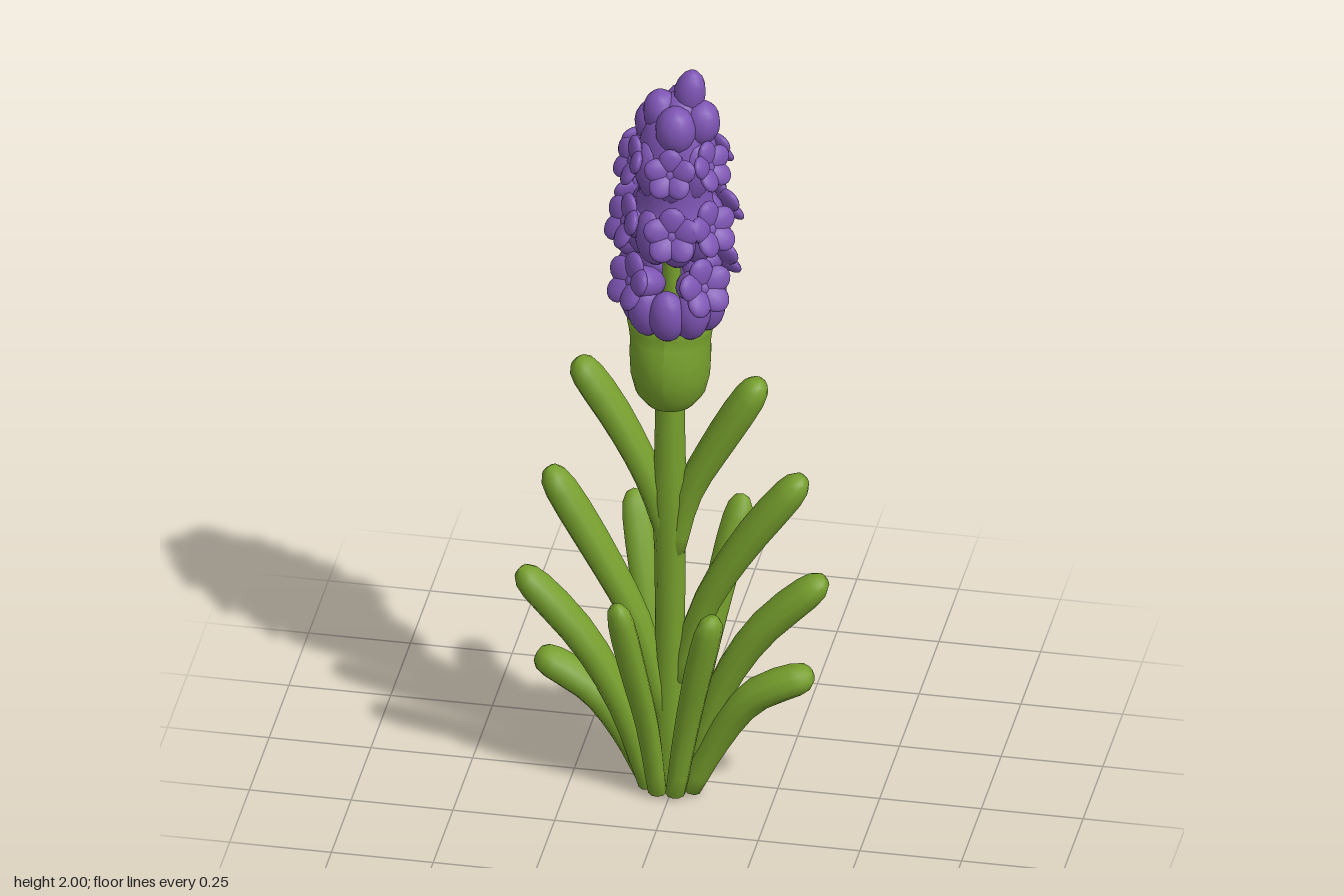
import * as THREE from 'three';

const green = new THREE.MeshStandardMaterial({ color: 0x77a02d });
green.name = 'leafGreen';
const purple = new THREE.MeshStandardMaterial({ color: 0x7d54b3 });
purple.name = 'petalPurple';

const CZ = 0.025; // the stem stands slightly forward of the origin

function add(parent, name, geometry, material) {
  const mesh = new THREE.Mesh(geometry, material);
  mesh.name = name;
  parent.add(mesh);
  return mesh;
}

// Sweep an elliptical section along a curve; rings are [position, scale] pairs.
function sweep(points, width, thick, rings, sides = 10) {
  const curve = new THREE.CatmullRomCurve3(points.map(p => new THREE.Vector3(...p)));
  const out = curve.getPoint(1).sub(curve.getPoint(0)).setY(0);
  const side = new THREE.Vector3(out.z, 0, -out.x).normalize();
  const pos = [], idx = [];
  rings.forEach(([u, s], i) => {
    const c = curve.getPoint(u);
    const t = curve.getTangent(u);
    const b = side.clone().addScaledVector(t, -side.dot(t)).normalize();
    const n = new THREE.Vector3().crossVectors(t, b);
    for (let j = 0; j < sides; j++) {
      const a = j / sides * Math.PI * 2;
      const p = c.clone().addScaledVector(b, Math.cos(a) * width * s)
        .addScaledVector(n, Math.sin(a) * thick * s);
      pos.push(p.x, Math.max(p.y, 0), p.z);
      if (i === 0) continue;
      const k = (j + 1) % sides, A = (i - 1) * sides, B = i * sides;
      idx.push(A + j, A + k, B + k, A + j, B + k, B + j);
    }
  });
  const g = new THREE.BufferGeometry();
  g.setAttribute('position', new THREE.Float32BufferAttribute(pos, 3));
  g.setIndex(idx);
  g.computeVertexNormals();
  return g;
}

const LEAF_RINGS = [[0, 0.01], [0.002, 0.68], [0.1, 0.74], [0.22, 0.8], [0.34, 0.85], [0.46, 0.9],
  [0.58, 0.95], [0.7, 1], [0.82, 1.02], [0.91, 0.97], [0.96, 0.82], [0.99, 0.5], [1, 0.01]];

// Leaf paths from base to tip
const LEAVES = {
  upperRightLeaf: [[-0.01, 0.68, 0.025], [-0.06, 0.85, 0.025], [-0.14, 1.01, 0.02], [-0.24, 1.165, 0.02]],
  upperLeftLeaf: [[0, 0.66, 0.025], [0.035, 0.82, 0.02], [0.11, 0.97, 0.01], [0.21, 1.145, 0.005]],
  highRightLeaf: [[-0.02, 0.2, 0.03], [-0.09, 0.45, 0.03], [-0.19, 0.65, 0.03], [-0.31, 0.855, 0.025]],
  highLeftLeaf: [[0.01, 0.3, 0.02], [0.08, 0.52, 0.02], [0.18, 0.7, 0.015], [0.315, 0.885, 0.005]],
  middleRightLeaf: [[-0.055, 0.01, 0.05], [-0.12, 0.23, 0.06], [-0.22, 0.42, 0.07], [-0.37, 0.595, 0.08]],
  middleLeftLeaf: [[0.035, 0.01, 0.03], [0.11, 0.27, 0.03], [0.21, 0.45, 0.025], [0.37, 0.615, 0.02]],
  lowRightLeaf: [[-0.065, 0.01, 0.02], [-0.12, 0.14, 0.03], [-0.2, 0.255, 0.035], [-0.335, 0.34, 0.04]],
  lowLeftLeaf: [[0.045, 0.01, 0.05], [0.11, 0.15, 0.05], [0.2, 0.285, 0.055], [0.345, 0.365, 0.055]],
  frontRightLeaf: [[-0.03, 0.01, 0.085], [-0.05, 0.2, 0.105], [-0.08, 0.38, 0.14], [-0.115, 0.57, 0.165]],
  frontLeftLeaf: [[0.015, 0.01, 0.085], [0.045, 0.2, 0.105], [0.08, 0.38, 0.135], [0.12, 0.56, 0.16]],
  backRightLeaf: [[-0.03, 0.01, -0.005], [-0.05, 0.25, -0.03], [-0.09, 0.48, -0.09], [-0.14, 0.695, -0.18]],
  backLeftLeaf: [[0.02, 0.01, -0.005], [0.05, 0.27, -0.04], [0.09, 0.5, -0.1], [0.13, 0.71, -0.18]],
  shortBackLeaf: [[-0.02, 0.01, -0.015], [-0.05, 0.16, -0.04], [-0.09, 0.28, -0.1], [-0.145, 0.39, -0.19]],
};

const ballGeo = new THREE.SphereGeometry(1, 12, 9);

// Upright rounded buds packed in a ring around the spike
function budRing(parent, name, y, radius, height, width, count, turn) {
  const ring = new THREE.Group();
  ring.name = name;
  for (let i = 0; i < count; i++) {
    const a = turn + i / count * Math.PI * 2;
    const bud = add(ring, 'bud', ballGeo, purple);
    bud.scale.set(width, height, width * 0.95);
    bud.position.set(Math.sin(a) * radius, y, Math.cos(a) * radius);
    bud.rotation.set(0.12, a, 0, 'YXZ');
  }
  parent.add(ring);
}

// Open flower with five broad overlapping petals, facing outwards and a little upwards
function flower(parent, angle, y, radius, size) {
  const f = new THREE.Group();
  f.name = 'flower';
  for (let i = 0; i < 5; i++) {
    const arm = new THREE.Group();
    arm.rotation.z = i / 5 * Math.PI * 2;
    const petal = add(arm, 'petal', ballGeo, purple);
    petal.scale.set(0.52 * size, 0.58 * size, 0.24 * size);
    petal.position.set(0, 0.55 * size, 0.08 * size);
    petal.rotation.x = 0.3;
    f.add(arm);
  }
  const throat = add(f, 'flowerThroat', ballGeo, purple);
  throat.scale.set(0.6 * size, 0.6 * size, 0.85 * size);
  throat.position.z = -0.65 * size;
  f.position.set(Math.sin(angle) * radius, y, Math.cos(angle) * radius);
  f.rotation.set(-0.4, angle, 0, 'YXZ');
  parent.add(f);
}

function lathe(profile) {
  return new THREE.LatheGeometry(profile.map(p => new THREE.Vector2(...p)), 20);
}

export function createModel() {
  const model = new THREE.Group();
  model.name = 'floweringPlant';

  // Stem, running up into the flower spike
  const stemRings = [[0, 0.01], [0.001, 1.4], [0.12, 1.15], [0.3, 1], [0.42, 1.05], [0.5, 1.25],
    [0.57, 1.05], [0.7, 0.95], [0.82, 0.65], [1, 0.6]];
  add(model, 'stem', sweep([[-0.01, 0.01, 0.024], [-0.01, 0.5, 0.025], [-0.01, 1.1, CZ], [-0.004, 1.56, CZ]],
    0.036, 0.036, stemRings), green);

  // Leaves
  for (const [name, path] of Object.entries(LEAVES)) {
    const narrow = /front|back/i.test(name);
    add(model, name, sweep(path, narrow ? 0.039 : 0.048, narrow ? 0.032 : 0.041, LEAF_RINGS), green);
  }

  // Cup under the flowers, with a rim that flares to the sides
  const cup = lathe([[0.025, 1.065], [0.06, 1.082], [0.085, 1.115], [0.097, 1.165], [0.099, 1.22],
    [0.095, 1.26], [0.096, 1.285], [0.1, 1.31], [0.085, 1.318], [0.001, 1.305]]);
  const p = cup.attributes.position;
  for (let i = 0; i < p.count; i++) {
    const k = THREE.MathUtils.smoothstep(p.getY(i), 1.2, 1.31);
    p.setX(i, p.getX(i) * (1 + 0.08 * k));
    p.setZ(i, p.getZ(i) * (1 - 0.25 * k));
  }
  cup.computeVertexNormals();
  add(model, 'flowerCup', cup, green).position.set(-0.008, 0, 0.03);

  // Flower spike in three tiers around a tapering core
  const spike = new THREE.Group();
  spike.name = 'flowerSpike';
  spike.position.set(0, 0, CZ);
  model.add(spike);
  add(spike, 'spikeCore', lathe([[0.001, 1.505], [0.07, 1.51], [0.1, 1.54], [0.108, 1.59], [0.098, 1.64],
    [0.085, 1.67], [0.09, 1.72], [0.09, 1.78], [0.08, 1.83], [0.06, 1.88], [0.001, 1.92]]), purple);

  budRing(spike, 'lowerBuds', 1.365, 0.088, 0.07, 0.046, 9, 0);
  for (let i = 0; i < 4; i++) flower(spike, Math.PI / 4 + i * Math.PI / 2, 1.455, 0.125, 0.067);

  budRing(spike, 'middleBuds', 1.575, 0.077, 0.08, 0.048, 8, 0.3);
  for (const a of [0.15, 0.95, 2.2, 3.14, 4.08, 5.33]) flower(spike, a, 1.615, 0.128, 0.064);

  budRing(spike, 'upperBuds', 1.745, 0.063, 0.085, 0.045, 7, 0.1);
  for (const a of [0.1, 1.1, 2.25, 3.14, 4.1, 5.25]) flower(spike, a, 1.775, 0.108, 0.058);

  // Closed buds at the tip: x, y, z, width, height, lean
  const tips = [[0.035, 1.935, -0.015, 0.039, 0.065, -0.15], [-0.03, 1.885, 0, 0.046, 0.06, 0.15],
    [0.065, 1.865, 0, 0.048, 0.06, -0.15], [0.012, 1.865, 0.045, 0.05, 0.062, 0],
    [0.01, 1.87, -0.055, 0.048, 0.064, 0], [-0.055, 1.84, -0.02, 0.046, 0.06, 0.1],
    [0.015, 1.86, -0.01, 0.062, 0.08, 0]];
  for (const [x, y, z, w, h, lean] of tips) {
    const bud = add(spike, 'tipBud', ballGeo, purple);
    bud.position.set(x, y, z);
    bud.scale.set(w, h, w);
    bud.rotation.z = lean;
  }
  return model;
}
